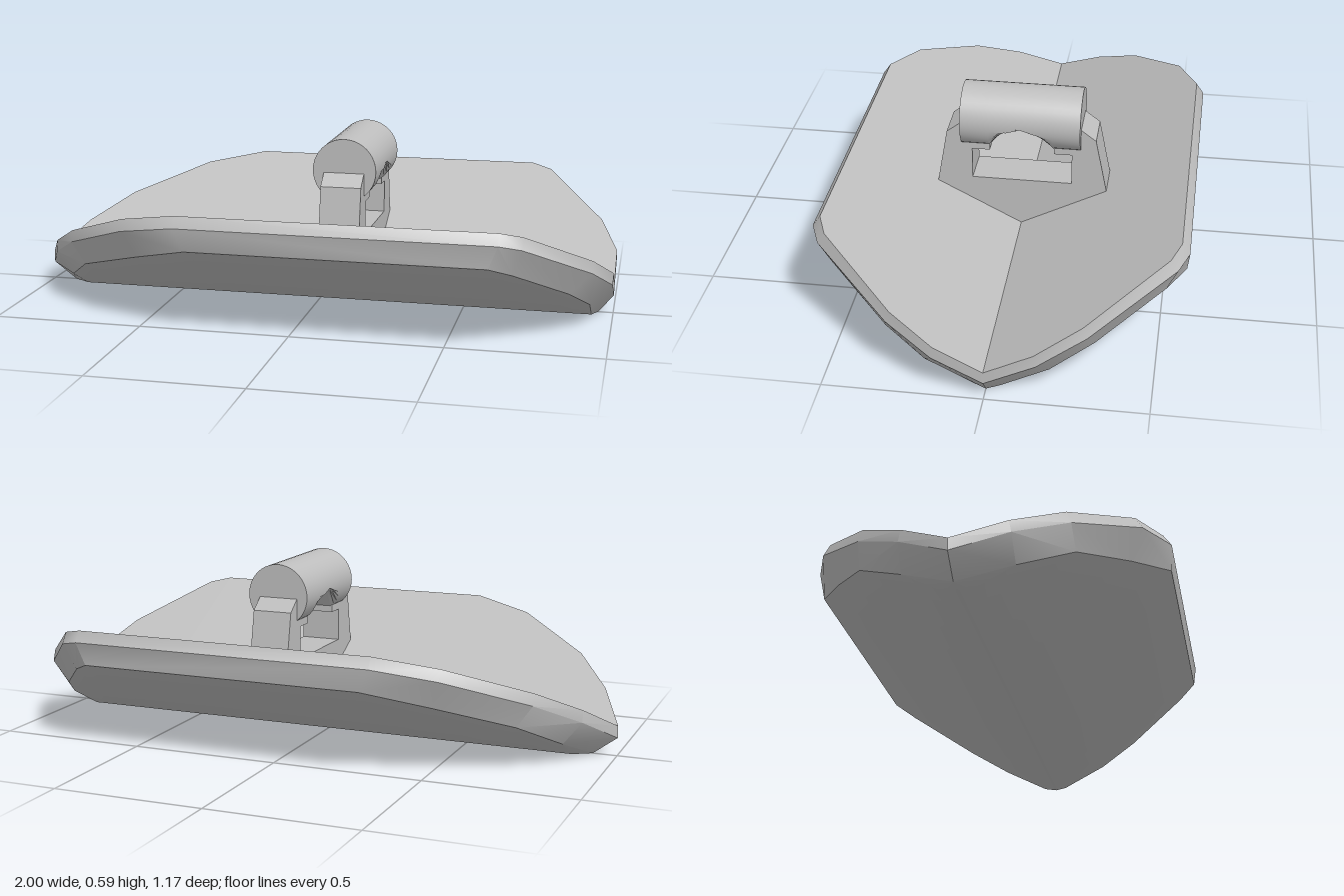
import * as THREE from 'three';
import { toCreasedNormals } from 'three/addons/utils/BufferGeometryUtils.js';

// Half outlines of the V plate as [x, z], tip to tail
const TOP = [[-1, 0], [-0.92, 0.16], [-0.8, 0.31], [-0.555, 0.49], [-0.355, 0.56],
  [0.67, 0.56], [0.74, 0.53], [0.94, 0.29], [1, 0.15], [1, 0]];
const BOTTOM = [[-0.92, 0], [-0.86, 0.17], [-0.75, 0.33], [-0.52, 0.47], [-0.32, 0.578],
  [0.64, 0.578], [0.71, 0.52], [0.87, 0.32], [0.93, 0.19], [0.95, 0]];

// One cross-section: ridge, top edge, widest edge, bottom edge, keel
function section(i) {
  const [xt, zt] = TOP[i];
  const [xb, zb] = BOTTOM[i];
  const zm = zt * 1.045;
  const under = (z) => Math.max(0, 0.52 * z - 0.02);
  const zk = Math.min(0.04, zb);
  return [
    [xt, 0.1, 0],
    [xt, 0.1 + 0.52 * zt, zt],
    [xt, 0.06 + 0.505 * zm, zm],
    [xb, under(zb), zb],
    [xb, under(zk), zk],
    [xb, 0, 0],
  ];
}

function plateGeometry() {
  const pos = [];
  const sections = TOP.map((_, i) => section(i));
  const same = (p, q) => p.every((v, k) => Math.abs(v - q[k]) < 1e-6);
  const tri = (a, b, c) => {
    if (same(a, b) || same(b, c) || same(a, c)) return;
    pos.push(...a, ...b, ...c);
    // Mirrored half
    for (const p of [a, c, b]) pos.push(p[0], p[1], -p[2]);
  };
  for (let i = 0; i < sections.length - 1; i++) {
    for (let j = 0; j < 5; j++) {
      const a = sections[i][j], b = sections[i][j + 1];
      const c = sections[i + 1][j + 1], d = sections[i + 1][j];
      tri(a, b, c);
      tri(a, c, d);
    }
  }
  const g = new THREE.BufferGeometry();
  g.setAttribute('position', new THREE.Float32BufferAttribute(pos, 3));
  return toCreasedNormals(g, 0.55);
}

// Upright bracket with a window, drawn in (z, y)
function bracketGeometry() {
  const outline = [[-0.29, 0.24], [0, 0.09], [0.285, 0.24], [0.25, 0.44], [0.2, 0.478],
    [0.12, 0.475], [0.105, 0.4], [0.105, 0.38], [0.165, 0.38], [0.165, 0.27],
    [-0.17, 0.27], [-0.17, 0.38], [-0.11, 0.38], [-0.11, 0.4], [-0.12, 0.475],
    [-0.2, 0.478], [-0.25, 0.44]];
  const shape = new THREE.Shape(outline.map(([z, y]) => new THREE.Vector2(z, y)));
  const g = new THREE.ExtrudeGeometry(shape, { depth: 0.135, bevelEnabled: false });
  return g.rotateY(-Math.PI / 2).translate(0.183, 0, 0);
}

// Round bar along z, hollowed from below in the middle
function barGeometry() {
  const stations = [-0.2, -0.107, -0.045, 0, 0.045, 0.107, 0.2];
  const cuts = [0.4, 0.4, 0.47, 0.484, 0.47, 0.4, 0.4];
  const g = new THREE.CylinderGeometry(0.106, 0.106, 6, 40, 6);
  g.rotateX(Math.PI / 2).translate(0.117, 0.485, 0);
  const p = g.attributes.position;
  for (let i = 0; i < p.count; i++) {
    const k = Math.round(p.getZ(i) + 3);
    p.setY(i, Math.max(p.getY(i), cuts[k]));
    p.setZ(i, stations[k]);
  }
  return toCreasedNormals(g, 0.5);
}

export function createModel() {
  const grey = new THREE.MeshStandardMaterial({ color: 0xbfbfbf });
  grey.name = 'light grey';
  const model = new THREE.Group();
  model.name = 'vPlateWithHandle';
  const add = (name, geometry) => {
    const mesh = new THREE.Mesh(geometry, grey);
    mesh.name = name;
    model.add(mesh);
  };
  add('vPlate', plateGeometry());
  add('bracket', bracketGeometry());
  add('roundBar', barGeometry());
  return model;
}
